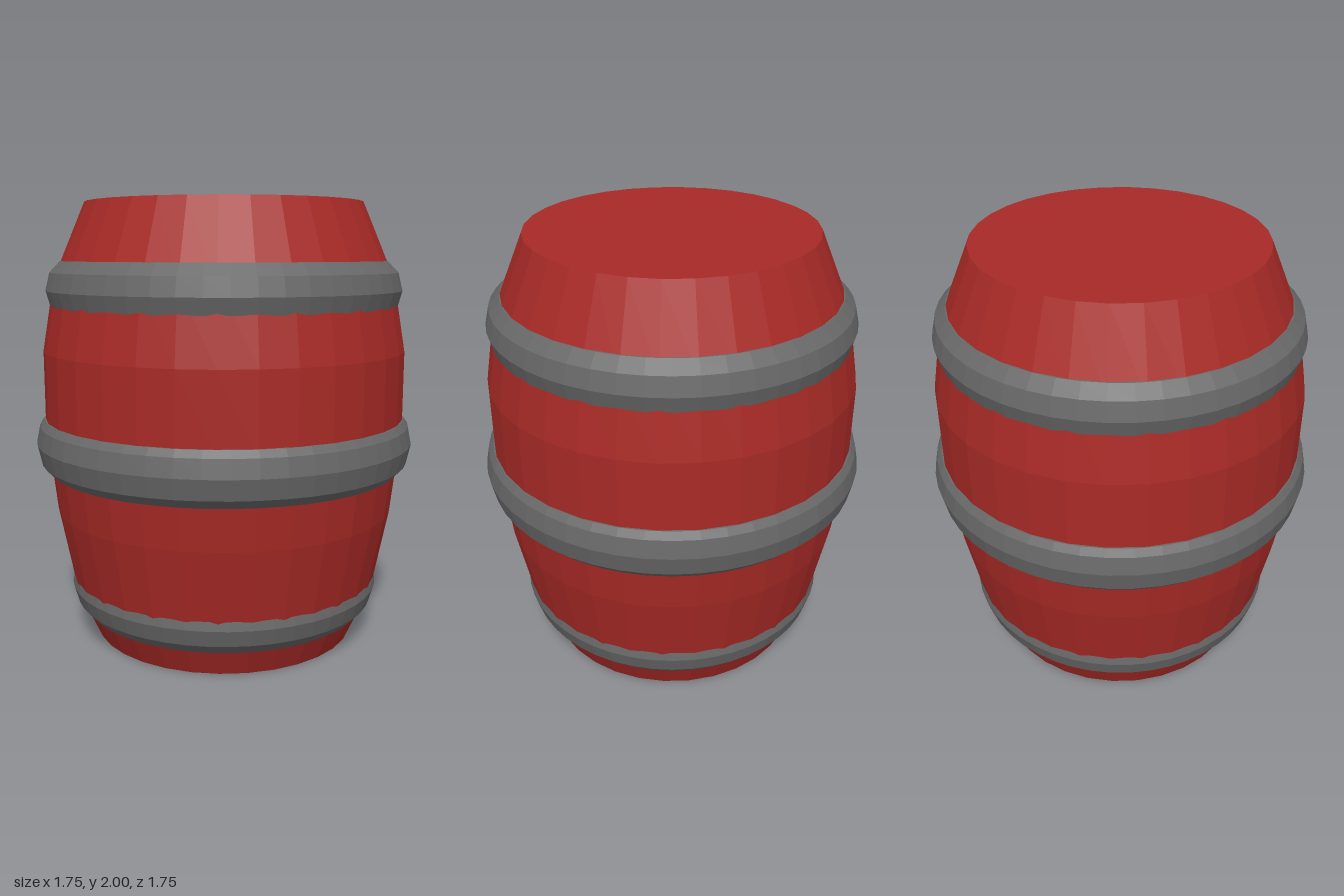
import * as THREE from 'three';

const paint = (color) => new THREE.MeshStandardMaterial({ color, flatShading: true });

// Revolve a [radius, height] profile, listed from bottom to top
function turned(name, profile, sides, material) {
  const points = profile.map(([r, y]) => new THREE.Vector2(r, y));
  const mesh = new THREE.Mesh(new THREE.LatheGeometry(points, sides), material);
  mesh.name = name;
  return mesh;
}

export function createModel() {
  const barrel = new THREE.Group();
  barrel.name = 'barrel';
  const red = paint(0xa82a26);
  const iron = paint(0x686868);

  // Bulging wooden body with closed flat ends
  barrel.add(turned('body', [
    [0, 0], [0.61, 0], [0.71, 0.22], [0.785, 0.6], [0.83, 1.0],
    [0.83, 1.34], [0.775, 1.66], [0.63, 2], [0, 2],
  ], 32, red));

  // Rounded hoops; both profile ends are buried in the body
  const hoops = {
    lowerHoop: [[0.62, 0.12], [0.665, 0.12], [0.705, 0.165], [0.727, 0.24], [0.72, 0.28], [0.66, 0.285]],
    middleHoop: [[0.76, 0.79], [0.815, 0.79], [0.853, 0.83], [0.873, 0.92], [0.857, 1.0], [0.835, 1.03], [0.77, 1.035]],
    upperHoop: [[0.74, 1.535], [0.793, 1.54], [0.812, 1.61], [0.793, 1.69], [0.745, 1.74], [0.69, 1.745]],
  };
  for (const [name, profile] of Object.entries(hoops)) {
    barrel.add(turned(name, profile, 48, iron));
  }
  return barrel;
}
